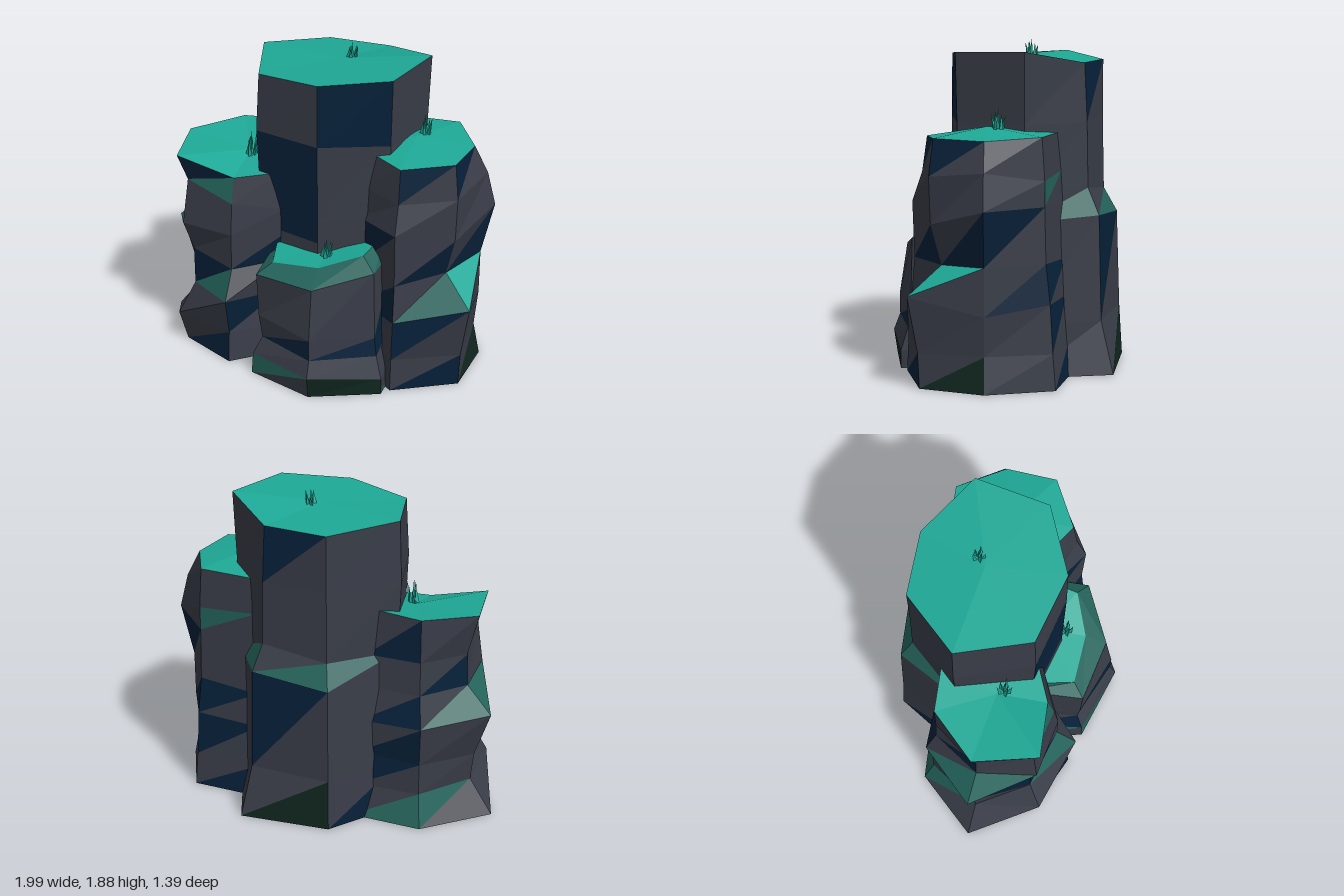
import * as THREE from 'three';

const mat = (name, color) => {
  const m = new THREE.MeshStandardMaterial({ color });
  m.name = name;
  return m;
};
const rock = mat('grey rock', 0x393d48);
const navy = mat('navy rock', 0x07213a);
const moss = mat('teal moss', 0x1ea896);
const slope = mat('muted moss', 0x24635b);
const dark = mat('dark base', 0x10261f);
const materials = [rock, navy, moss, slope, dark];
const KEYS = 'rnmsd';

// Seven-sided stack. Each ring is [heights, radii], side 0 faces front and the
// sides run round by the left. Each colour row holds two letters per side:
// the lower and the upper triangle of that face.
function column(name, cx, cz, rings, colours, topY) {
  const buckets = materials.map(() => []);
  const points = rings.map(([y, r]) => r.map((rad, k) => {
    const a = (k / 7) * Math.PI * 2;
    return [cx + Math.sin(a) * rad, Array.isArray(y) ? y[k] : y, cz + Math.cos(a) * rad];
  }));
  const tri = (key, ...pts) => pts.forEach(p => buckets[KEYS.indexOf(key)].push(...p));
  const top = points[points.length - 1];
  for (let k = 0; k < 7; k++) {
    const n = (k + 1) % 7;
    for (let i = 0; i < points.length - 1; i++) {
      const a = points[i][k], b = points[i][n], c = points[i + 1][n], d = points[i + 1][k];
      tri(colours[i][2 * k], a, b, c);
      tri(colours[i][2 * k + 1], a, c, d);
    }
    tri('m', top[k], top[n], [cx, topY, cz]);
    tri('d', points[0][n], points[0][k], [cx, 0, cz]);
  }
  const geo = new THREE.BufferGeometry();
  geo.setAttribute('position', new THREE.Float32BufferAttribute(buckets.flat(), 3));
  let start = 0;
  buckets.forEach((b, i) => {
    geo.addGroup(start, b.length / 3, i);
    start += b.length / 3;
  });
  geo.computeVertexNormals();
  const mesh = new THREE.Mesh(geo, materials);
  mesh.name = name;
  return mesh;
}

// Small fan of pointed blades
function grassTuft(x, y, z, height) {
  const tuft = new THREE.Group();
  tuft.name = 'grassTuft';
  for (let i = 0; i < 6; i++) {
    const h = height * (i === 0 ? 1 : 0.66 + 0.12 * (i % 3));
    const geo = new THREE.ConeGeometry(0.014, h, 3).toNonIndexed();
    geo.translate(0, h / 2, 0);
    geo.computeVertexNormals();
    const blade = new THREE.Mesh(geo, moss);
    const a = i * 1.26 + 0.3;
    const spread = i === 0 ? 0 : 0.022;
    blade.name = 'grassBlade';
    blade.position.set(Math.cos(a) * spread, -0.01, Math.sin(a) * spread);
    blade.rotation.set(Math.sin(a) * spread * 9, a, -Math.cos(a) * spread * 9);
    tuft.add(blade);
  }
  tuft.position.set(x, y, z);
  return tuft;
}

export function createModel() {
  const model = new THREE.Group();
  model.name = 'rockColumns';

  // Tall middle column
  model.add(column('tallColumn', 0.07, -0.12, [
    [0, [0.45, 0.52, 0.5, 0.64, 0.58, 0.55, 0.5]],
    [0.3, [0.45, 0.5, 0.5, 0.55, 0.56, 0.55, 0.5]],
    [[0.82, 0.85, 0.88, 0.9, 0.86, 0.85, 0.82], [0.45, 0.5, 0.5, 0.53, 0.54, 0.53, 0.5]],
    [[0.95, 1, 1.02, 1.05, 1, 1, 0.95], [0.45, 0.5, 0.5, 0.45, 0.46, 0.52, 0.5]],
    [1.42, [0.455, 0.49, 0.5, 0.44, 0.45, 0.54, 0.52]],
    [[1.785, 1.81, 1.82, 1.75, 1.75, 1.785, 1.76], [0.45, 0.5, 0.515, 0.42, 0.45, 0.525, 0.5]],
  ], [
    'rrrrrrdrnrnrrr',
    'rrrrrrrnrrrrrr',
    'rrrrsrsrrssrnn',
    'rrrrrrrrrrrrnn',
    'nnrrrrrnrrrrrr',
  ], 1.79));

  // Column on the model's left
  model.add(column('leftColumn', 0.55, -0.02, [
    [0, [0.48, 0.46, 0.41, 0.49, 0.49, 0.4, 0.36]],
    [0.2, [0.47, 0.47, 0.37, 0.47, 0.47, 0.4, 0.36]],
    [[0.43, 0.52, 0.42, 0.47, 0.45, 0.45, 0.42], [0.45, 0.535, 0.39, 0.45, 0.45, 0.38, 0.35]],
    [[0.66, 0.67, 0.69, 0.69, 0.66, 0.68, 0.66], [0.43, 0.31, 0.39, 0.42, 0.44, 0.36, 0.35]],
    [[0.98, 0.9, 1, 1, 1, 0.98, 0.96], [0.44, 0.38, 0.46, 0.41, 0.43, 0.35, 0.35]],
    [[1.15, 1.16, 1.2, 1.14, 1.16, 1.16, 1.16], [0.38, 0.39, 0.41, 0.41, 0.42, 0.34, 0.34]],
    [[1.35, 1.365, 1.36, 1.375, 1.37, 1.37, 1.365], [0.35, 0.36, 0.33, 0.39, 0.4, 0.32, 0.3]],
  ], [
    'nrdrrrnrrrrrrr',
    'rnrrrrrnrrrrrr',
    'srrmnrrnrrrrnr',
    'nrnrrnrrnrrrrn',
    'rrrrrrrsrrrrrr',
    'rnrnrrrrnrrrrr',
  ], 1.41));

  // Column on the model's right
  model.add(column('rightColumn', -0.45, 0, [
    [0, [0.45, 0.36, 0.36, 0.49, 0.49, 0.56, 0.43]],
    [0.19, [0.43, 0.35, 0.36, 0.44, 0.42, 0.41, 0.48]],
    [[0.42, 0.4, 0.4, 0.4, 0.38, 0.36, 0.38], [0.48, 0.32, 0.36, 0.42, 0.42, 0.43, 0.37]],
    [[0.58, 0.62, 0.62, 0.6, 0.62, 0.64, 0.61], [0.36, 0.35, 0.36, 0.42, 0.45, 0.53, 0.37]],
    [[0.8, 0.8, 0.8, 0.8, 0.8, 0.79, 0.79], [0.36, 0.37, 0.36, 0.38, 0.38, 0.37, 0.43]],
    [[0.99, 0.96, 1, 1, 1, 0.98, 1.07], [0.33, 0.37, 0.35, 0.37, 0.37, 0.36, 0.39]],
    [[1.14, 1.17, 1.25, 1.28, 1.26, 1.235, 1.23], [0.29, 0.32, 0.35, 0.36, 0.37, 0.43, 0.45]],
  ], [
    'rrrrrrsrrsrrnr',
    'rnrrrrrnrrrrrr',
    'rrrrrrnrrrnrsn',
    'nrrrrrnrsrmsrr',
    'rrrrrrrrnrrrrr',
    'rrrrrrnrrrrrsn',
  ], 1.2));

  // Short column at the front
  model.add(column('frontColumn', 0.12, 0.2, [
    [0, [0.47, 0.5, 0.42, 0.3, 0.3, 0.47, 0.51]],
    [[0.13, 0.1, 0.12, 0.12, 0.12, 0.12, 0.13], [0.49, 0.5, 0.4, 0.3, 0.3, 0.42, 0.5]],
    [0.23, [0.45, 0.45, 0.38, 0.3, 0.3, 0.38, 0.44]],
    [[0.36, 0.34, 0.37, 0.38, 0.38, 0.38, 0.38], [0.45, 0.43, 0.39, 0.3, 0.3, 0.38, 0.46]],
    [[0.66, 0.75, 0.76, 0.76, 0.72, 0.68, 0.65], [0.4, 0.415, 0.36, 0.3, 0.3, 0.38, 0.47]],
    [[0.74, 0.82, 0.85, 0.84, 0.8, 0.76, 0.71], [0.27, 0.31, 0.31, 0.3, 0.3, 0.36, 0.37]],
  ], [
    'ddsrrrrrrrrsrs',
    'rrrrrrrrrrnrrr',
    'nrrnrrrrrrrrnr',
    'rrnrrrrrrrrrrr',
    'sssssrrrrrssss',
  ], 0.78));

  // Grass on every top
  [[0.12, 1.785, -0.16, 0.1], [0.58, 1.4, -0.09, 0.13],
    [-0.43, 1.19, 0.04, 0.16], [0.13, 0.77, 0.35, 0.11]]
    .forEach(t => model.add(grassTuft(...t)));
  return model;
}
